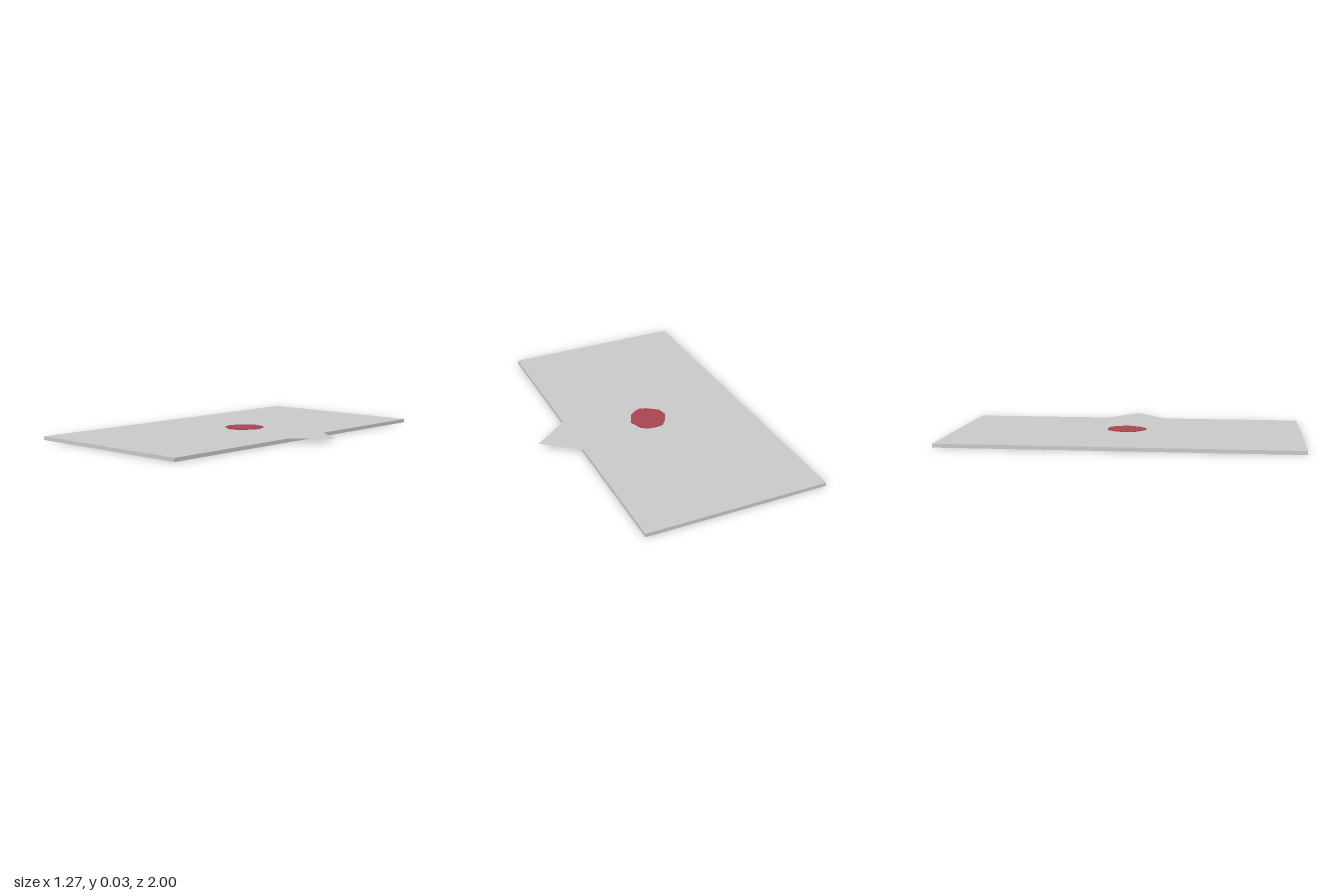
import * as THREE from 'three';

export function createModel() {
  const model = new THREE.Group();
  const grey = new THREE.MeshStandardMaterial({ color: 0xc8c8c8 });
  grey.name = 'light grey';
  grey.side = THREE.DoubleSide;
  const red = new THREE.MeshStandardMaterial({ color: 0xa84450 });
  red.name = 'muted red';

  function add(name, geometry, material, x, y, z) {
    const mesh = new THREE.Mesh(geometry, material);
    mesh.name = name;
    mesh.position.set(x, y, z);
    model.add(mesh);
    return mesh;
  }

  // Shape drawn as [x, z] points, laid flat
  function flatShape(points) {
    return new THREE.Shape(points.map(([x, z]) => new THREE.Vector2(x, -z)));
  }

  // Main slab
  add('plate', new THREE.BoxGeometry(1.064, 0.021, 2), grey, -0.107, 0.0105, 0);

  // Paper-thin triangle lying on the slab, its tip past the edge
  const triangle = flatShape([[-0.62, 0.97], [0.635, -0.005], [-0.62, -0.97]]);
  const sheet = new THREE.ShapeGeometry(triangle).rotateX(-Math.PI / 2);
  add('triangleSheet', sheet, grey, 0, 0.0235, 0);

  // Uneven round spot
  const spot = flatShape([
    [-0.093, -0.114], [-0.05, -0.12], [0.003, -0.114], [0.038, -0.088],
    [0.066, -0.012], [0.03, 0.062], [-0.01, 0.094], [-0.04, 0.105],
    [-0.08, 0.094], [-0.145, 0.045], [-0.157, -0.012], [-0.13, -0.07],
  ]);
  const disc = new THREE.ExtrudeGeometry(spot, { depth: 0.007, bevelEnabled: false })
    .rotateX(-Math.PI / 2);
  add('spot', disc, red, 0, 0.021, 0);

  return model;
}
